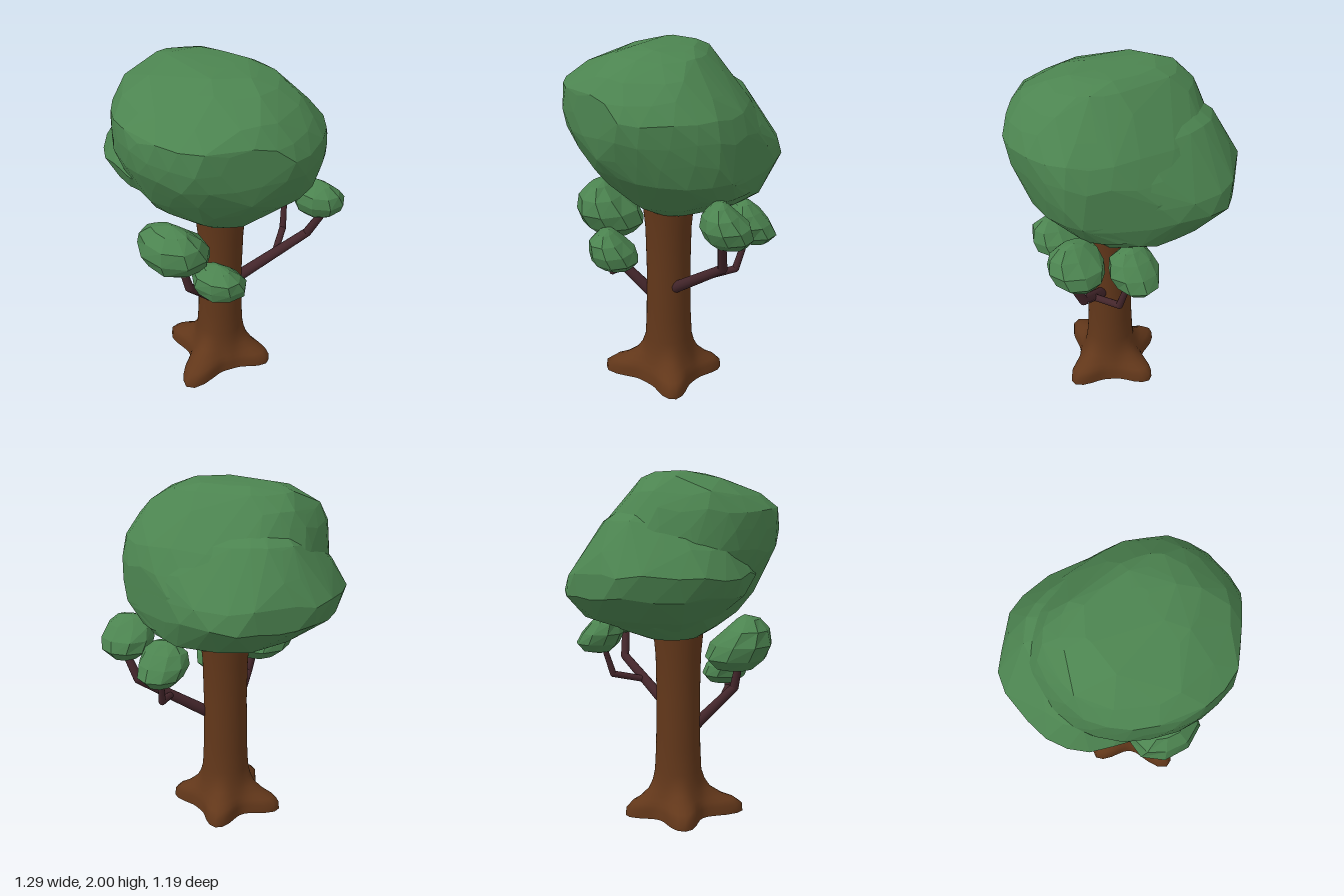
import * as THREE from 'three';
import { ConvexGeometry } from 'three/addons/geometries/ConvexGeometry.js';

const bark = new THREE.MeshStandardMaterial({ color: 0x62371a, side: THREE.DoubleSide });
const twig = new THREE.MeshStandardMaterial({ color: 0x44262b });
const leaf = new THREE.MeshStandardMaterial({ color: 0x4c8450, flatShading: true });

// small seeded generator, returns -1..1
function seeded(seed) {
  return () => {
    seed = (seed * 16807) % 2147483647;
    return (seed / 2147483647) * 2 - 1;
  };
}

// skin closed rings stacked upwards; point(row, angle) gives [x, y, z]
function loft(rows, segs, point) {
  const pos = [], idx = [];
  for (let r = 0; r < rows; r++) {
    for (let s = 0; s < segs; s++) pos.push(...point(r, (s / segs) * Math.PI * 2));
  }
  for (let r = 0; r < rows - 1; r++) {
    for (let s = 0; s < segs; s++) {
      const p = r * segs + s, q = r * segs + (s + 1) % segs;
      idx.push(p, p + segs, q, q, p + segs, q + segs);
    }
  }
  const g = new THREE.BufferGeometry();
  g.setAttribute('position', new THREE.Float32BufferAttribute(pos, 3));
  g.setIndex(idx);
  g.computeVertexNormals();
  return g;
}

function mesh(name, geometry, material) {
  const m = new THREE.Mesh(geometry, material);
  m.name = name;
  return m;
}

// trunk flaring into four roots, open underneath
function trunk() {
  // height, core radius, root strength
  const rows = [[0, 0.195, 1], [0.05, 0.19, 1], [0.08, 0.182, 0.82], [0.105, 0.172, 0.5], [0.15, 0.156, 0.2],
    [0.2, 0.146, 0.07], [0.26, 0.139, 0], [0.4, 0.132, 0], [0.7, 0.128, 0], [0.95, 0.133, 0], [1.15, 0.152, 0]];
  const roots = [[0.32, -0.07], [0.01, 0.39], [-0.345, 0.04], [-0.09, -0.31]];
  return loft(rows.length, 48, (r, a) => {
    const [y, core, k] = rows[r];
    let rad = core;
    for (const [x, z] of roots) {
      let d = Math.abs(a - Math.atan2(z, x)) % (Math.PI * 2);
      d = Math.min(d, Math.PI * 2 - d);
      rad += k * (Math.hypot(x, z) - 0.195) * Math.exp(-((d / 0.36) ** 2));
    }
    return [0.05 + rad * Math.cos(a), y, 0.03 + rad * Math.sin(a)];
  });
}

// upright planes that flatten the corners of the crown: normal x, normal z, distance
const flats = [[0.43, -0.9, 0.515], [0.74, 0.67, 0.575], [-0.707, -0.707, 0.63], [-0.68, 0.73, 0.6]];

// faceted crown mass around uneven rings: height, x min, x max, z min, z max;
// a frontPower under 1 squares off the front corners
function crown(rows, seed, frontPower) {
  const rand = seeded(seed), points = [], segs = 26;
  rows.forEach(([y, x0, x1, z0, z1], r) => {
    const inner = r > 0 && r < rows.length - 1;
    for (let s = 0; s < segs; s++) {
      const a = ((s + (r % 2) / 2) / segs) * Math.PI * 2;
      const c = Math.cos(a), n = Math.sin(a), power = n < 0 ? 0.8 : frontPower;
      const k = 1.005 + 0.012 * rand();
      let x = (x0 + x1) / 2 + k * (x1 - x0) / 2 * Math.sign(c) * Math.abs(c) ** power;
      let z = (z0 + z1) / 2 + k * (z1 - z0) / 2 * Math.sign(n) * Math.abs(n) ** power;
      for (const [nx, nz, d] of flats) {
        const over = Math.max(0, nx * x + nz * z - d);
        x -= nx * over;
        z -= nz * over;
      }
      points.push(new THREE.Vector3(x, y + (inner ? 0.018 * rand() : 0), z));
    }
  });
  return new ConvexGeometry(points);
}

// small faceted leaf clump, its back sloping outwards to the bottom
function clump(seed, size) {
  const rows = 7, rand = seeded(seed);
  return loft(rows, 9, (r, a) => {
    const t = (r / (rows - 1) - 0.5) * Math.PI;
    const pole = r === 0 || r === rows - 1;
    const k = pole ? 1 : 1.02 + 0.05 * rand();
    const y = size[1] * Math.sin(t), w = k * Math.cos(t);
    const slope = 0.1 + 0.35 * (1 - Math.sin(a)) * Math.cos(t);
    return [size[0] * w * Math.cos(a), y, size[2] * w * Math.sin(a) + slope * y];
  });
}

// tapered limb through points [x, y, z, radius] with rounded joints
function limb(name, points) {
  const g = new THREE.Group();
  g.name = name;
  points.forEach(([x, y, z, r], i) => {
    const a = new THREE.Vector3(x, y, z);
    const joint = mesh('joint', new THREE.SphereGeometry(r, 12, 8), twig);
    joint.position.copy(a);
    g.add(joint);
    if (i === points.length - 1) return;
    const [bx, by, bz, br] = points[i + 1];
    const b = new THREE.Vector3(bx, by, bz);
    const dir = b.clone().sub(a);
    const seg = mesh('segment', new THREE.CylinderGeometry(br, r, dir.length(), 12, 1, true), twig);
    seg.position.copy(a).add(b).multiplyScalar(0.5);
    seg.quaternion.setFromUnitVectors(new THREE.Vector3(0, 1, 0), dir.normalize());
    g.add(seg);
  });
  return g;
}

export function createModel() {
  const tree = new THREE.Group();
  tree.name = 'tree';
  tree.add(mesh('trunk', trunk(), bark));

  // main crown and the lower mass bulging out behind and to the right
  tree.add(mesh('mainCrown', crown([[1.075, -0.18, 0.2, -0.15, 0.15], [1.15, -0.32, 0.32, -0.34, 0.28],
    [1.25, -0.44, 0.44, -0.48, 0.38], [1.36, -0.52, 0.53, -0.53, 0.46], [1.47, -0.53, 0.57, -0.53, 0.53],
    [1.58, -0.53, 0.595, -0.48, 0.58], [1.69, -0.51, 0.605, -0.41, 0.6], [1.79, -0.485, 0.56, -0.33, 0.59],
    [1.87, -0.45, 0.48, -0.27, 0.49], [1.95, -0.36, 0.37, -0.19, 0.32], [1.985, -0.25, 0.26, -0.12, 0.2],
    [2, -0.12, 0.12, -0.03, 0.08]], 71, 1.03), leaf));
  tree.add(mesh('rearCrown', crown([[1.1, -0.2, 0.2, -0.2, 0.1], [1.21, -0.42, 0.35, -0.49, 0.27],
    [1.34, -0.61, 0.47, -0.595, 0.41], [1.45, -0.645, 0.5, -0.57, 0.46], [1.58, -0.57, 0.5, -0.48, 0.4],
    [1.72, -0.48, 0.4, -0.38, 0.2], [1.86, -0.3, 0.2, -0.2, 0.1]], 23, 0.82), leaf));

  // branches
  tree.add(
    limb('frontBranch', [[0.05, 0.54, 0.14, 0.034], [0.05, 0.76, 0.36, 0.026], [0.01, 0.95, 0.39, 0.02]]),
    limb('frontTwig', [[0.05, 0.69, 0.29, 0.02], [0.22, 0.73, 0.33, 0.018], [0.24, 0.85, 0.33, 0.016]]),
    limb('backBranch', [[0.15, 0.62, -0.03, 0.034], [0.44, 0.88, -0.31, 0.026], [0.54, 1.08, -0.31, 0.022]]),
    limb('backTwig', [[0.3, 0.76, -0.19, 0.02], [0.25, 0.8, -0.37, 0.02], [0.22, 1.0, -0.43, 0.016]])
  );

  // leaf clumps on the branch ends: name, centre, half sizes
  const clumps = [
    ['frontLargeClump', [-0.02, 1.035, 0.395], [0.215, 0.168, 0.175]],
    ['frontSmallClump', [0.23, 0.87, 0.33], [0.16, 0.122, 0.13]],
    ['backOuterClump', [0.485, 1.145, -0.32], [0.155, 0.127, 0.13]],
    ['backInnerClump', [0.2, 1.065, -0.43], [0.14, 0.128, 0.125]]
  ];
  clumps.forEach(([name, at, size], i) => {
    const c = mesh(name, clump(11 + i * 37, size), leaf);
    c.position.set(...at);
    tree.add(c);
  });
  return tree;
}
